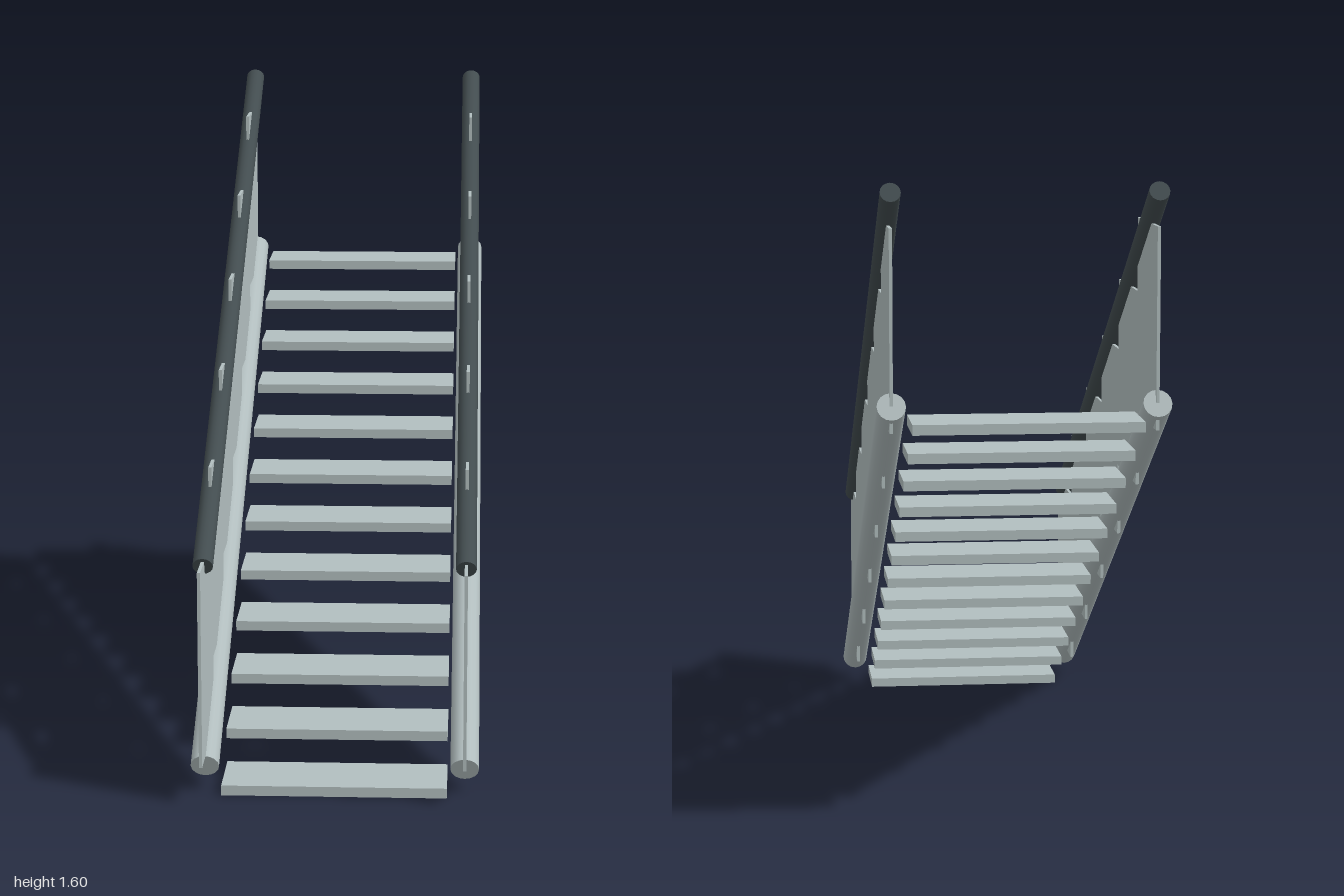
import * as THREE from 'three';

export function createModel() {
  const model = new THREE.Group();
  model.name = 'staircase';

  const paleSteel = new THREE.MeshStandardMaterial({ color: 0xb2bebf });
  paleSteel.name = 'pale steel';
  const darkRail = new THREE.MeshStandardMaterial({ color: 0x434d50 });
  darkRail.name = 'dark rail';

  const add = (parent, name, geometry, material, x, y, z) => {
    const mesh = new THREE.Mesh(geometry, material);
    mesh.name = name;
    mesh.position.set(x, y, z);
    parent.add(mesh);
    return mesh;
  };

  // Sloping round bar between two points in the plane of one side
  const addBar = (parent, name, radius, material, x, from, to) => {
    const a = new THREE.Vector3(x, ...from);
    const b = new THREE.Vector3(x, ...to);
    const dir = b.clone().sub(a);
    const mid = a.clone().add(b).multiplyScalar(0.5);
    const bar = add(parent, name, new THREE.CylinderGeometry(radius, radius, dir.length(), 16),
      material, mid.x, mid.y, mid.z);
    bar.quaternion.setFromUnitVectors(new THREE.Vector3(0, 1, 0), dir.normalize());
  };

  // Open treads
  const treads = new THREE.Group();
  treads.name = 'treads';
  model.add(treads);
  const treadGeometry = new THREE.BoxGeometry(0.55, 0.025, 0.18);
  for (let i = 0; i < 12; i++) {
    add(treads, 'tread', treadGeometry, paleSteel, 0, 0.0125 + i * 0.0922, 0.84 - i * 0.1591);
  }

  // Balustrades: stepped panels between a lower stringer and a handrail
  const panelGeometry = new THREE.BoxGeometry(0.008, 0.486, 0.3175);
  for (const side of [-1, 1]) {
    const x = side * 0.318;
    const balustrade = new THREE.Group();
    balustrade.name = side > 0 ? 'leftBalustrade' : 'rightBalustrade';
    model.add(balustrade);
    for (let i = 0; i < 6; i++) {
      add(balustrade, 'panel', panelGeometry, paleSteel, x, 0.337 + i * 0.1822, 0.841 - i * 0.3175);
    }
    addBar(balustrade, 'stringer', 0.035, paleSteel, x, [0.062, 0.892], [1.07, -0.906]);
    addBar(balustrade, 'handrail', 0.025, darkRail, x, [0.567, 0.892], [1.575, -0.906]);
  }

  return model;
}
